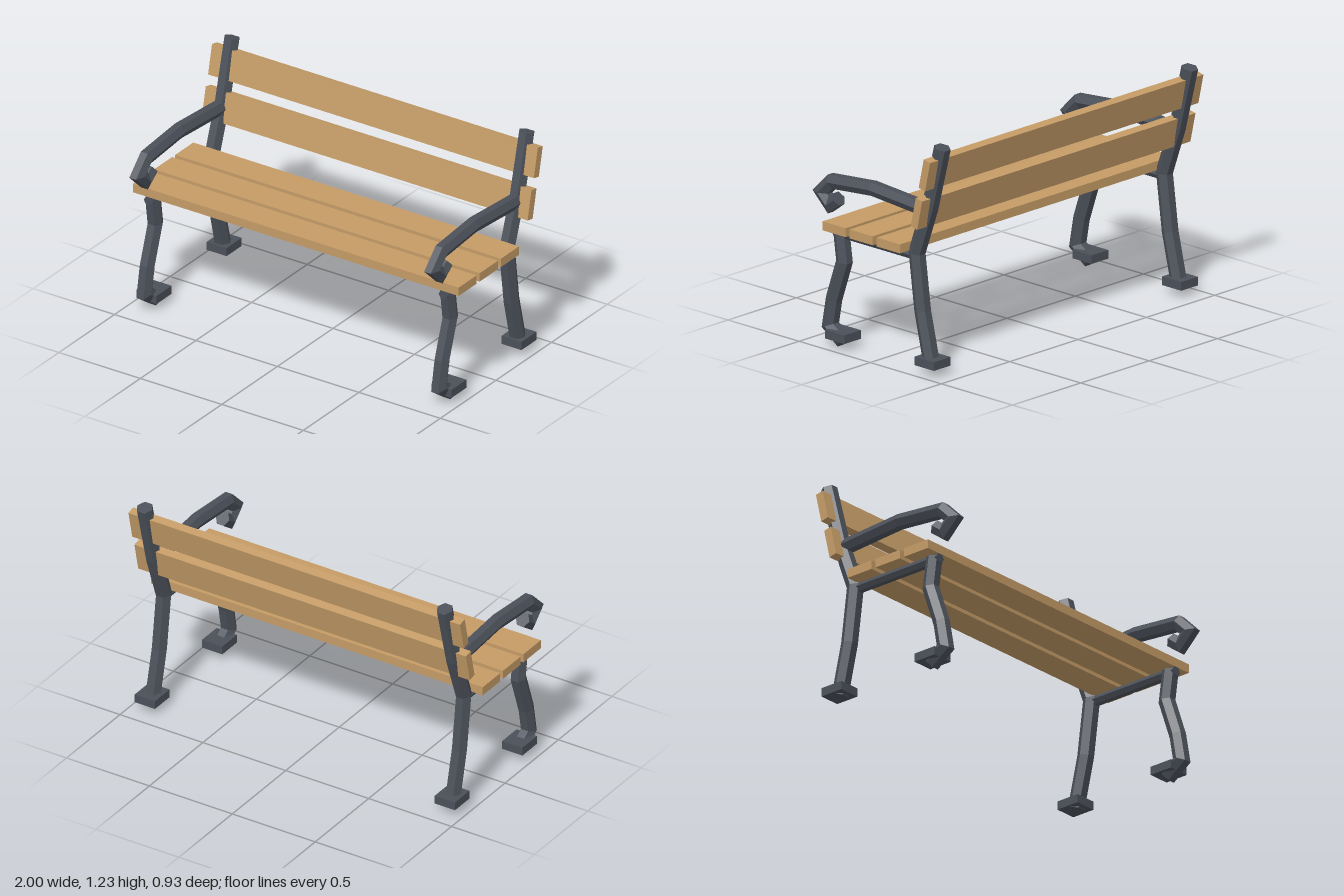
import * as THREE from 'three';

const wood = new THREE.MeshStandardMaterial({ color: 0xc49b66 });
wood.name = 'wood';
const iron = new THREE.MeshStandardMaterial({ color: 0x4b5059 });
iron.name = 'iron';

// Faceted hexagonal bar with mitred joints along [z, y] points in the x = 0 plane.
function bar(name, points, radius) {
  const sides = 6;
  const pts = points.map(([z, y]) => new THREE.Vector2(z, y));
  const rings = pts.map((p, i) => {
    const a = i > 0 ? p.clone().sub(pts[i - 1]).normalize() : null;
    const b = i < pts.length - 1 ? pts[i + 1].clone().sub(p).normalize() : null;
    const dir = (a && b ? a.clone().add(b) : a || b).clone().normalize();
    const widen = 1 / Math.max(0.5, dir.dot(a || b));
    return Array.from({ length: sides }, (_, k) => {
      const t = (k / sides) * Math.PI * 2;
      const n = Math.sin(t) * radius * widen;
      return [Math.cos(t) * radius, p.y + dir.x * n, p.x - dir.y * n];
    });
  });
  const pos = [];
  const tri = (a, b, c) => pos.push(...a, ...b, ...c);
  for (let i = 0; i < rings.length - 1; i++) {
    for (let k = 0; k < sides; k++) {
      const m = (k + 1) % sides;
      const [a, b, c, d] = [rings[i][k], rings[i][m], rings[i + 1][m], rings[i + 1][k]];
      tri(a, b, c);
      tri(a, c, d);
    }
  }
  // End caps
  const first = rings[0];
  const last = rings[rings.length - 1];
  for (let k = 1; k < sides - 1; k++) {
    tri(first[0], first[k + 1], first[k]);
    tri(last[0], last[k], last[k + 1]);
  }
  const geo = new THREE.BufferGeometry();
  geo.setAttribute('position', new THREE.Float32BufferAttribute(pos, 3));
  geo.computeVertexNormals();
  const mesh = new THREE.Mesh(geo, iron);
  mesh.name = name;
  return mesh;
}

function box(name, size, y, z, material, tilt = 0) {
  const mesh = new THREE.Mesh(new THREE.BoxGeometry(...size), material);
  mesh.name = name;
  mesh.position.set(0, y, z);
  mesh.rotation.x = tilt;
  return mesh;
}

// One iron end frame: post, front leg, scrolled armrest, rail and feet
function endFrame(name, x) {
  const frame = new THREE.Group();
  frame.name = name;
  frame.position.x = x;
  frame.add(
    bar('backPost', [[-0.343, 0.035], [-0.278, 0.31], [-0.238, 0.615], [-0.33, 0.875], [-0.417, 1.213]], 0.044),
    bar('frontLeg', [[0.295, 0.615], [0.272, 0.45], [0.345, 0.235], [0.371, 0.09], [0.278, 0.024]], 0.043),
    bar('armrest', [[-0.32, 0.858], [0.065, 0.886], [0.356, 0.86], [0.426, 0.79], [0.367, 0.734], [0.312, 0.775]], 0.041),
    bar('seatRail', [[-0.24, 0.6], [0.335, 0.6]], 0.028),
    box('frontFoot', [0.122, 0.046, 0.136], 0.058, 0.283, iron),
    box('backFoot', [0.122, 0.046, 0.136], 0.058, -0.347, iron)
  );
  return frame;
}

export function createModel() {
  const bench = new THREE.Group();
  bench.name = 'bench';
  bench.add(endFrame('leftFrame', 0.905), endFrame('rightFrame', -0.905));

  // Wooden slats
  [0.254, 0.064, -0.127].forEach((z, i) =>
    bench.add(box(`seatSlat${i + 1}`, [2, 0.048, 0.163], 0.647, z, wood)));
  [[0.86, -0.325], [1.078, -0.381]].forEach(([y, z], i) =>
    bench.add(box(`backSlat${i + 1}`, [2, 0.163, 0.046], y, z, wood, -0.22)));
  return bench;
}
